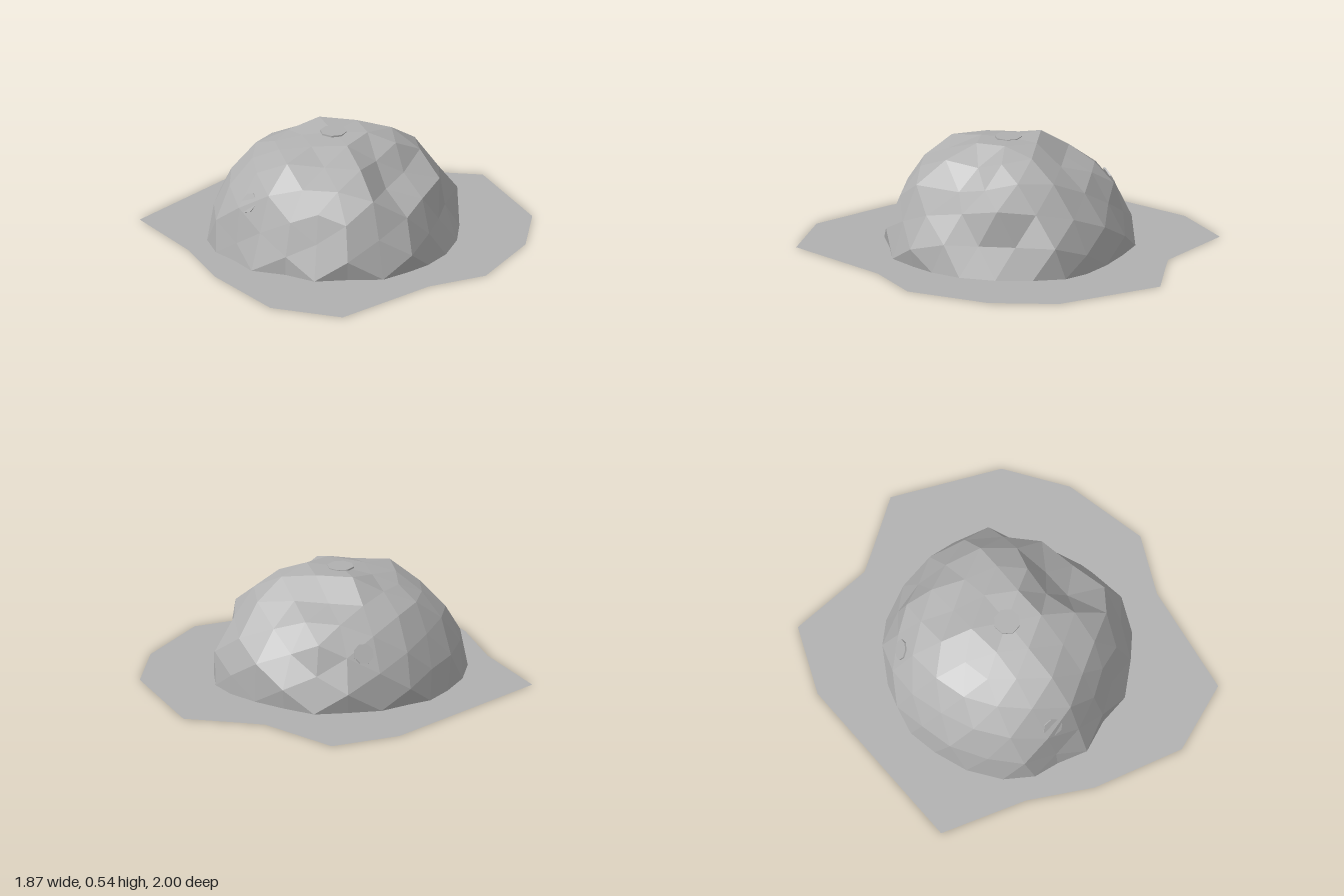
import * as THREE from 'three';

// Points on the boulder surface that steer its lumpy radius
const KNOBS = [
  [0, 0.53, 0], [0.18, 0.54, -0.08], [-0.15, 0.51, 0], [-0.29, 0.44, 0], [-0.42, 0.4, -0.05],
  [0.44, 0.4, -0.1], [0.54, 0.3, -0.03], [0.5, 0.14, 0], [0.61, 0, -0.01], [-0.56, 0.15, 0],
  [0.3, 0.36, 0.15], [-0.1, 0.4, 0.42], [0.1, 0.4, 0.42], [0, 0.46, 0.3], [0, 0.15, 0.53],
  [0, 0, 0.61], [0.3, 0.32, 0.4], [0, 0.535, -0.17], [0, 0.44, -0.29], [0, 0.39, -0.43],
  [0, 0.25, -0.53], [0, 0, -0.6], [0.32, 0, -0.51], [0.45, 0, -0.43], [0.55, 0.02, -0.34],
  [0.52, 0.1, 0.25], [0.45, 0, 0.42], [0.17, 0, 0.57], [-0.16, 0.05, 0.53], [-0.31, 0, 0.51],
  [-0.4, 0.1, 0.4], [-0.54, 0.05, 0.26], [-0.57, 0, -0.18], [-0.41, 0, -0.42], [-0.31, 0, -0.51],
].map((p) => {
  const v = new THREE.Vector3(...p);
  return { r: v.length(), dir: v.normalize() };
});

// Inverse-distance blend of the knob radii in a given direction
function radiusAt(dir) {
  let sum = 0.0, total = 0;
  for (const k of KNOBS) {
    const w = 1 / (Math.pow(dir.distanceTo(k.dir), 4) + 1e-4);
    sum += w * k.r;
    total += w;
  }
  return sum / total;
}

// Faceted dome: displaced icosphere, flattened on the ground and open below
function domeGeometry() {
  const src = new THREE.IcosahedronGeometry(1, 3).getAttribute('position');
  const out = [];
  for (let i = 0; i < src.count; i += 3) {
    const tri = [0, 1, 2].map((j) => {
      const d = new THREE.Vector3().fromBufferAttribute(src, i + j).normalize();
      // small repeatable roughness, equal for corners that share a position
      const rough = 0.012 * Math.sin(d.x * 23 + d.y * 31 + d.z * 17);
      const v = d.clone().multiplyScalar(radiusAt(d) + rough);
      v.y = Math.max(0, v.y);
      return v;
    });
    if (tri.some((v) => v.y > 0.001)) tri.forEach((v) => out.push(v.x, v.y, v.z));
  }
  const geo = new THREE.BufferGeometry();
  geo.setAttribute('position', new THREE.Float32BufferAttribute(out, 3));
  geo.computeVertexNormals();
  return geo;
}

export function createModel() {
  const model = new THREE.Group();
  model.name = 'boulderOnGround';
  const stone = new THREE.MeshStandardMaterial({ color: 0xb0b0b0, flatShading: true, side: THREE.DoubleSide });
  stone.name = 'stoneGrey';

  const add = (name, geo) => {
    const mesh = new THREE.Mesh(geo, stone);
    mesh.name = name;
    model.add(mesh);
    return mesh;
  };

  // Irregular flat ground sheet, outline as x, z
  const outline = [
    [-0.17, -1], [0.2, -0.79], [0.33, -0.79], [0.6, -0.795], [0.91, -0.34], [0.93, 0], [0.8, 0.4],
    [0.55, 0.57], [0.2, 1], [-0.16, 0.94], [-0.48, 0.61], [-0.65, 0.32], [-0.94, -0.01], [-0.46, -0.8],
  ].map(([x, z]) => new THREE.Vector2(x, -z));
  const sheet = new THREE.ShapeGeometry(new THREE.Shape(outline));
  sheet.rotateX(-Math.PI / 2);
  add('groundSheet', sheet);

  add('boulder', domeGeometry());

  // Small eight-sided flat spots set in the boulder
  for (const [x, y, z, r] of [[0, 1, 0, 0.065], [-0.35, 0.28, 0.35, 0.05], [-0.21, 0.27, -0.46, 0.05]]) {
    const dir = new THREE.Vector3(x, y, z).normalize();
    const spot = add('flatSpot', new THREE.CylinderGeometry(r, r, 0.008, 8));
    spot.position.copy(dir).multiplyScalar(radiusAt(dir) - 0.003);
    spot.quaternion.setFromUnitVectors(new THREE.Vector3(0, 1, 0), dir);
  }
  return model;
}
